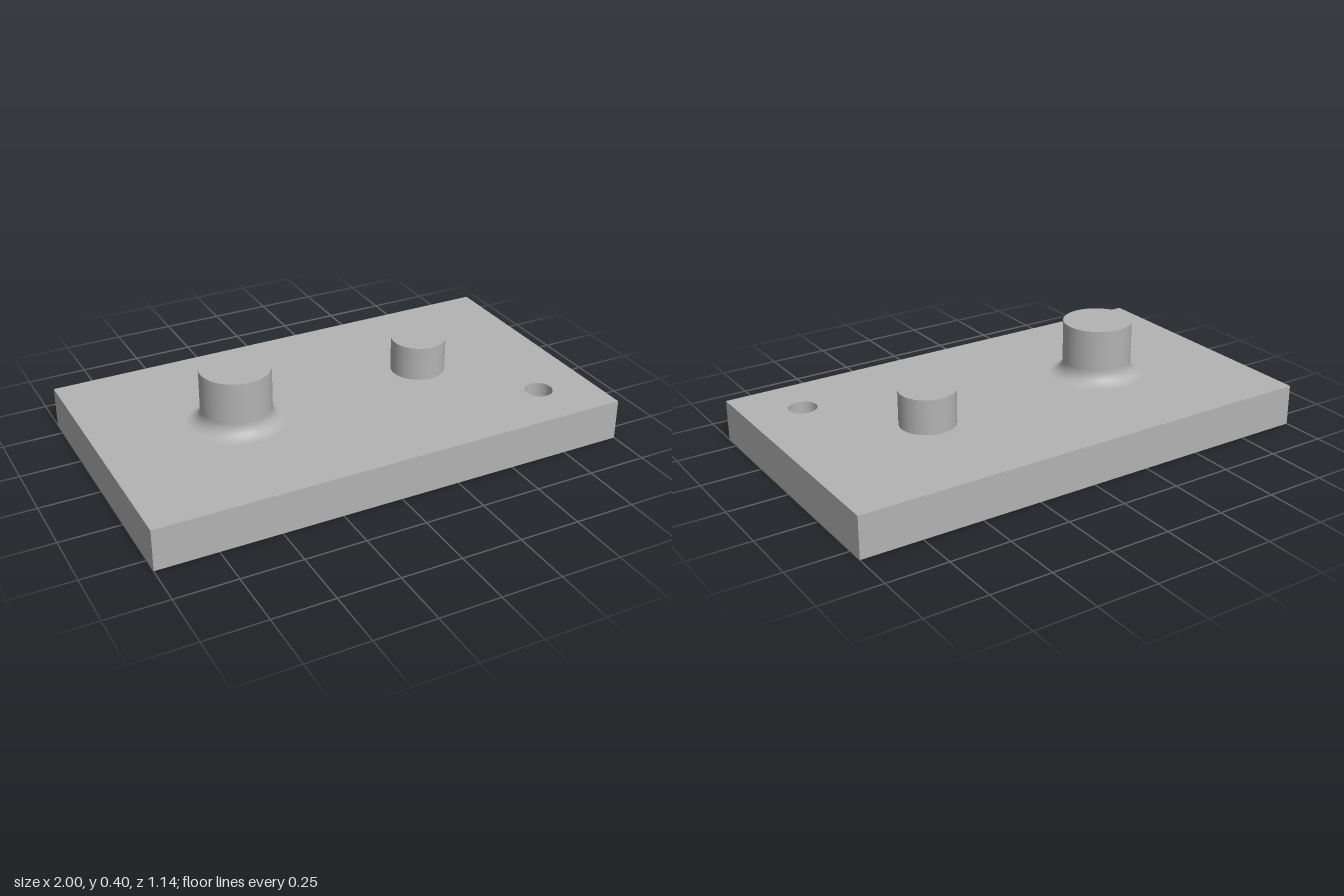
import * as THREE from 'three';
import { toCreasedNormals } from 'three/addons/utils/BufferGeometryUtils.js';

const WIDTH = 2, DEPTH = 1.143, THICK = 0.171, SEGMENTS = 64;

export function createModel() {
  const model = new THREE.Group();
  model.name = 'mountingPlate';
  const grey = new THREE.MeshStandardMaterial({ color: 0xb3b3b3 });
  grey.name = 'plain grey';

  function add(name, geometry, x = 0, y = 0, z = 0) {
    const mesh = new THREE.Mesh(geometry, grey);
    mesh.name = name;
    mesh.position.set(x, y, z);
    model.add(mesh);
  }

  // Rectangular plate with a round through hole near its front left corner
  const w = WIDTH / 2, d = DEPTH / 2;
  const outline = new THREE.Shape([
    new THREE.Vector2(-w, -d), new THREE.Vector2(w, -d),
    new THREE.Vector2(w, d), new THREE.Vector2(-w, d),
  ]);
  const hole = new THREE.Path();
  hole.absarc(0.77, -0.343, 0.058, 0, Math.PI * 2, true);
  outline.holes.push(hole);
  const plate = new THREE.ExtrudeGeometry(outline, {
    depth: THICK, bevelEnabled: false, curveSegments: 48,
  });
  plate.rotateX(-Math.PI / 2);
  add('plate', toCreasedNormals(plate, 0.6));

  // Tall boss: concave fillet at the foot, straight wall, flat top
  const radius = 0.143, height = 0.231, fillet = 0.057, steps = 12;
  const profile = [];
  for (let i = 0; i <= steps; i++) {
    const a = (i / steps) * Math.PI / 2;
    profile.push(new THREE.Vector2(
      radius + fillet * (1 - Math.sin(a)), fillet * (1 - Math.cos(a))));
  }
  profile.push(new THREE.Vector2(radius, fillet + 0.004), new THREE.Vector2(radius, height));
  add('tallBossWall', new THREE.LatheGeometry(profile, SEGMENTS), -0.429, THICK, 0);
  const cap = new THREE.CircleGeometry(radius, SEGMENTS);
  cap.rotateX(-Math.PI / 2);
  add('tallBossTop', cap, -0.429, THICK + height, 0);

  // Short plain peg
  const pegHeight = 0.144;
  add('shortPeg', new THREE.CylinderGeometry(0.114, 0.114, pegHeight, SEGMENTS),
    0.428, THICK + pegHeight / 2, -0.057);

  return model;
}
